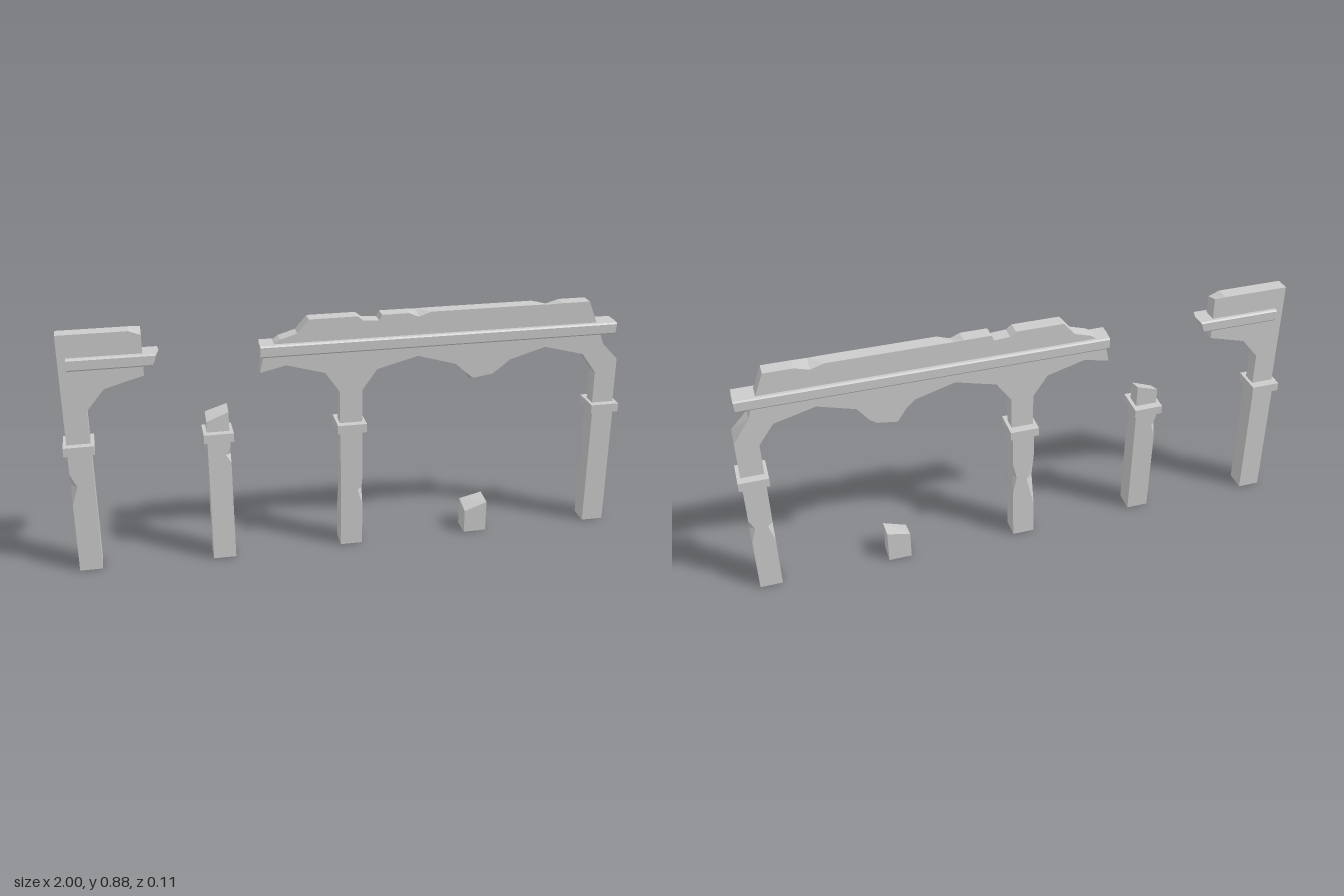
import * as THREE from 'three';

const material = new THREE.MeshStandardMaterial({ color: 0xcccccc, flatShading: true });

function mesh(name, geometry, parent) {
  const m = new THREE.Mesh(geometry, material);
  m.name = name;
  parent.add(m);
  return m;
}

// Closed solid through rings of points, bottom to top, each counter-clockwise from above
function loft(rings) {
  const n = rings[0].length, idx = [];
  for (let r = 0; r < rings.length - 1; r++) {
    for (let i = 0; i < n; i++) {
      const a = r * n + i, b = r * n + (i + 1) % n;
      idx.push(a, b, b + n, a, b + n, a + n);
    }
  }
  const top = (rings.length - 1) * n;
  for (let i = 1; i < n - 1; i++) {
    idx.push(0, i + 1, i, top, top + i, top + i + 1);
  }
  const g = new THREE.BufferGeometry();
  g.setAttribute('position', new THREE.Float32BufferAttribute(rings.flat(2), 3));
  g.setIndex(idx);
  const flat = g.toNonIndexed();
  flat.computeVertexNormals();
  return flat;
}

const HX = 0.04, HZ = 0.037, CZ = 0.004;
const corners = [[1, 1], [1, -1], [-1, -1], [-1, 1]];

// Square shaft whose corners are chipped: chip = [corner, yLow, yMid, yHigh, depth]
function shaftGeometry(height, chips) {
  const levels = [...new Set([0, height, ...chips.flatMap(c => c.slice(1, 4))])].sort((a, b) => a - b);
  const cut = (k, y) => {
    let c = 0;
    for (const [corner, lo, mid, hi, d] of chips) {
      if (corner !== k || y <= lo || y >= hi) continue;
      c = Math.max(c, d * (y < mid ? (y - lo) / (mid - lo) : (hi - y) / (hi - mid)));
    }
    return c;
  };
  return loft(levels.map(y => corners.flatMap(([sx, sz], k) => {
    const c = cut(k, y);
    const alongX = [sx * (HX - c), y, sz * HZ], alongZ = [sx * HX, y, sz * (HZ - c)];
    return k % 2 ? [alongZ, alongX] : [alongX, alongZ];
  })));
}

// Shaft with its capital band
function column(name, x, z, chips, parent) {
  const g = new THREE.Group();
  g.name = name;
  g.position.set(x, 0, z);
  mesh('shaft', shaftGeometry(0.47, chips), g);
  mesh('capital', new THREE.BoxGeometry(0.104, 0.032, 0.108), g).position.y = 0.47;
  parent.add(g);
  return g;
}

// Wall from its front outline; bend(x, y, isFront) returns y on the broken edges
function wall(name, outline, bend, parent) {
  const shape = new THREE.Shape(outline.map(p => new THREE.Vector2(...p)));
  const g = new THREE.ExtrudeGeometry(shape, { depth: 0.051, bevelEnabled: false });
  g.translate(0, 0, -0.019);
  const p = g.attributes.position;
  for (let i = 0; i < p.count; i++) p.setY(i, bend(p.getX(i), p.getY(i), p.getZ(i) > 0));
  g.computeVertexNormals();
  mesh(name, g, parent);
}

// Cornice with slightly chamfered edges; slants tilt the broken ends
function cornice(name, x0, x1, slant0, slant1, parent) {
  const rings = [[0.755, 0.004], [0.76, 0], [0.792, 0], [0.797, 0.004]].map(([y, e]) => {
    const t = (y - 0.776) / 0.042;
    const a = x0 + slant0 * t, b = x1 + slant1 * t;
    const f = 0.05 - e, k = -0.034 + e;
    return [[b - slant1 * 0.6, y, f], [b, y, 0.01], [b - slant1 * 0.2, y, k],
      [a + 0.004, y, k], [a, y, 0.01], [a, y, f]];
  });
  mesh(name, loft(rings), parent);
}

export function createModel() {
  const model = new THREE.Group();
  model.name = 'ruinedArcade';

  // Standing columns
  column('rightColumn', -0.947, CZ, [[3, 0.26, 0.33, 0.38, 0.022]], model);
  column('middleColumn', -0.003, CZ,
    [[0, 0.16, 0.22, 0.27, 0.018], [2, 0.13, 0.25, 0.37, 0.028], [1, 0.2, 0.27, 0.33, 0.014]], model);
  column('leftColumn', 0.944, CZ,
    [[1, 0.21, 0.27, 0.31, 0.018], [2, 0.2, 0.27, 0.34, 0.018]], model);

  // Leaning broken column with a jagged stub on its capital
  const broken = column('brokenColumn', -0.473, 0.018,
    [[0, 0.37, 0.4, 0.43, 0.018], [2, 0.34, 0.39, 0.43, 0.015]], model);
  broken.position.y = 0.0015;
  broken.rotation.x = -0.04;
  const stubTop = [0.555, 0.57, 0.545, 0.525];
  const stubRing = top => corners.map(([sx, sz], k) => [sx * 0.039, top ? stubTop[k] : 0.475, 0.0 + sz * 0.027]);
  mesh('stub', loft([stubRing(false), stubRing(true)]), broken);

  // Stump left of a fallen column
  const stumpTop = [0.118, 0.125, 0.105, 0.088];
  const stumpRing = top => corners.map(([sx, sz], k) => [0.472 + sx * 0.042, top ? stumpTop[k] : 0, CZ + sz * HZ]);
  mesh('fallenColumnStump', loft([stumpRing(false), stumpRing(true)]), model);

  // Short wall with half an arch
  wall('rightWall', [
    [-0.987, 0.475], [-0.907, 0.475], [-0.907, 0.605], [-0.845, 0.68], [-0.71, 0.718],
    [-0.71, 0.876], [-0.75, 0.877], [-0.987, 0.877],
  ], (x, y, front) => (front && x > -0.72 && y > 0.8 ? y - 0.015 : y), model);
  cornice('rightCornice', -0.96, -0.664, 0, 0.016, model);

  // Long wall: arches along the bottom, broken hanging springer and worn top
  wall('mainWall', [
    [-0.32, 0.697], [-0.23, 0.718], [-0.095, 0.68], [-0.043, 0.605], [-0.043, 0.475],
    [0.037, 0.475], [0.037, 0.605], [0.09, 0.68], [0.235, 0.718], [0.375, 0.678],
    [0.41, 0.645], [0.44, 0.6], [0.51, 0.61], [0.535, 0.627], [0.575, 0.68],
    [0.705, 0.718], [0.85, 0.68], [0.904, 0.605], [0.904, 0.475], [0.984, 0.475],
    [0.984, 0.652], [0.925, 0.715], [0.91, 0.755], [0.893, 0.795], [0.86, 0.877],
    [0.76, 0.877], [0.71, 0.876], [0.66, 0.877], [0.28, 0.877], [0.235, 0.876], [0.2, 0.877],
    [0.105, 0.877], [0.095, 0.857], [0.04, 0.861], [0.02, 0.877], [-0.15, 0.877],
    [-0.19, 0.83], [-0.25, 0.812], [-0.28, 0.79], [-0.31, 0.745],
  ], (x, y, front) => {
    if (front && y < 0.64 && x > 0.42 && x < 0.55) return y + 0.02;
    if (front && y > 0.8 && Math.abs(x - 0.235) < 0.01) return 0.862;
    if (!front && y > 0.8 && Math.abs(x - 0.71) < 0.01) return 0.862;
    if (!front && x > 0.98 && y > 0.6) return y - 0.027;
    return y;
  }, model);
  cornice('mainCornice', -0.319, 0.964, 0, 0.003, model);

  return model;
}
